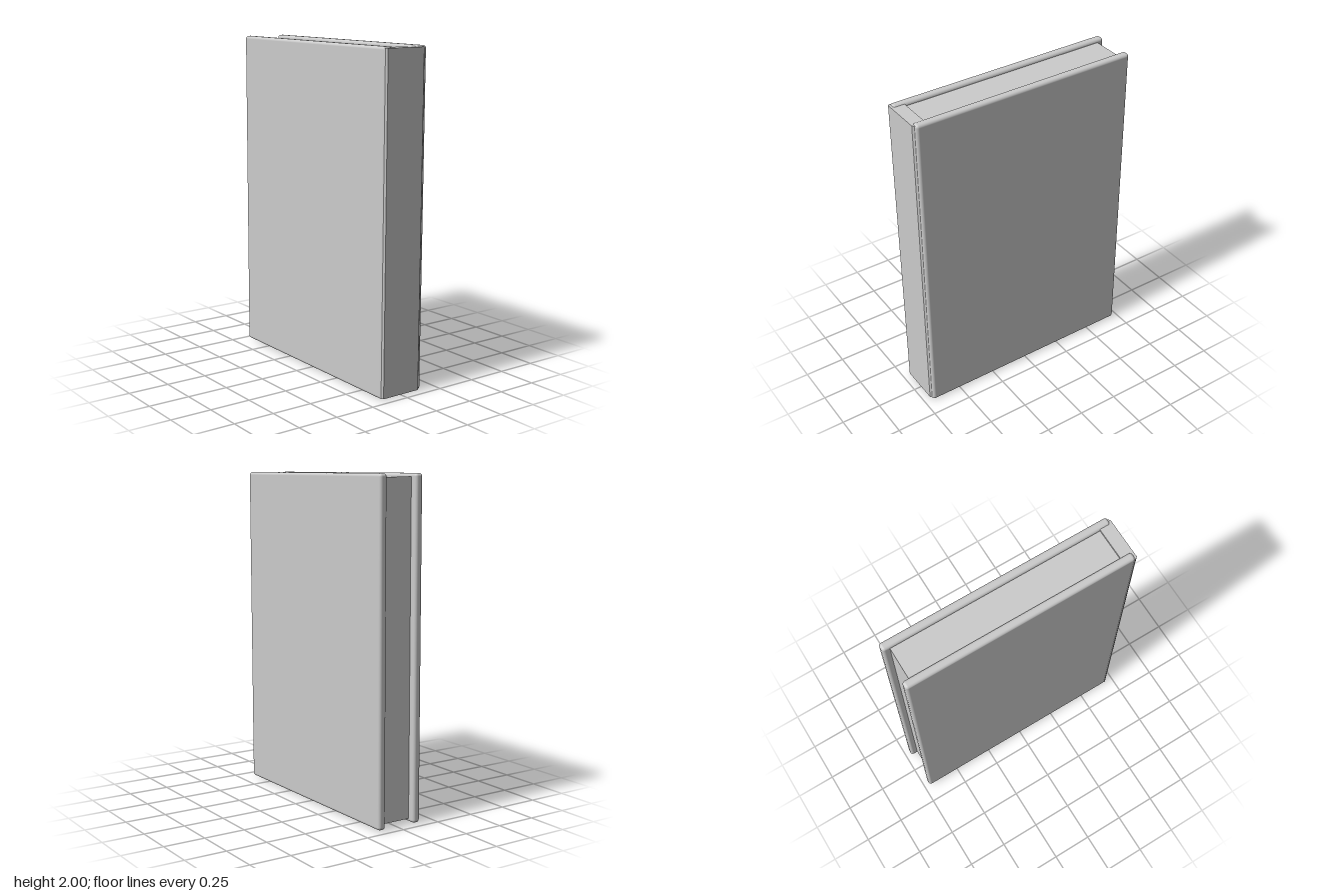
import * as THREE from 'three';
import { RoundedBoxGeometry } from 'three/addons/geometries/RoundedBoxGeometry.js';

export function createModel() {
  const book = new THREE.Group();
  book.name = 'book';
  const material = new THREE.MeshStandardMaterial({ color: 0xcccccc });
  const add = (name, geometry, x, y, z) => {
    const mesh = new THREE.Mesh(geometry, material);
    mesh.name = name;
    mesh.position.set(x, y, z);
    book.add(mesh);
    return mesh;
  };

  // Thick cover boards with soft edges
  for (const side of [-1, 1]) {
    const name = side > 0 ? 'leftCover' : 'rightCover';
    add(name, new RoundedBoxGeometry(0.05, 1.99, 1.41, 3, 0.018), side * 0.122, 0, -0.005);
  }

  // Page block, set back from the cover edges
  add('pages', new THREE.BoxGeometry(0.2, 1.95, 1.3), 0, 0, -0.017);

  // Spine: a chamfered bar closing the front, slightly short of the left cover's outer face
  const profile = new THREE.Shape([
    [-0.1, -0.63], [-0.1, -0.69], [-0.146, -0.69], [-0.146, -0.698], [-0.137, -0.71],
    [0.117, -0.71], [0.13, -0.698], [0.13, -0.69], [0.1, -0.69], [0.1, -0.63],
  ].map(([x, y]) => new THREE.Vector2(x, y)));
  const spine = new THREE.ExtrudeGeometry(profile, { depth: 1.975, bevelEnabled: false });
  spine.rotateX(-Math.PI / 2); // profile y becomes -z, depth becomes height
  add('spine', spine, 0, -0.9875, 0);

  // The book leans forward very slightly
  book.rotation.x = 0.005;
  book.position.y = 1;

  const model = new THREE.Group();
  model.add(book);
  return model;
}
